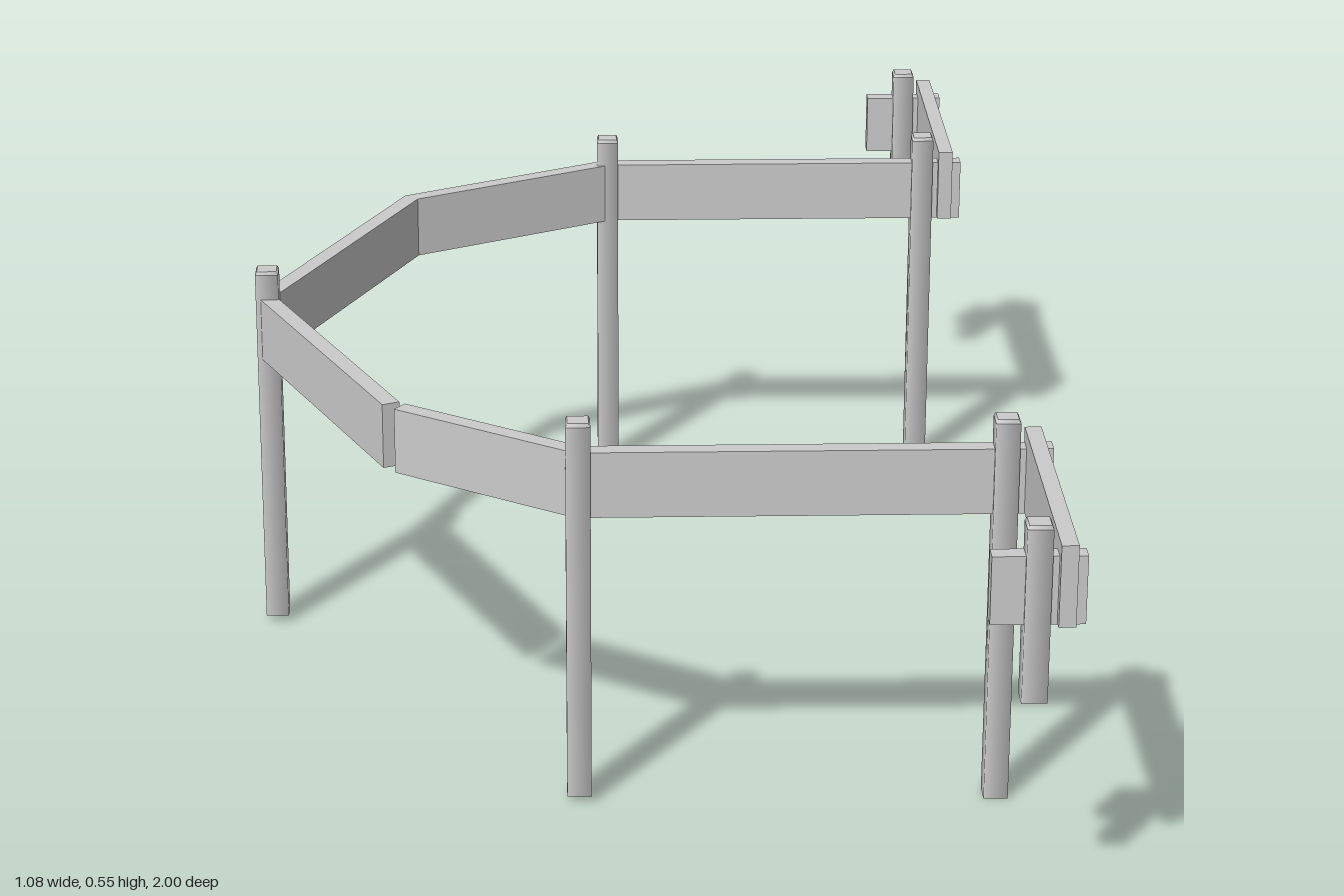
import * as THREE from 'three';

export function createModel() {
  const group = new THREE.Group();
  group.name = 'fence';
  const material = new THREE.MeshStandardMaterial({ color: 0xcccccc });

  function add(name, geometry, x, y, z) {
    const mesh = new THREE.Mesh(geometry, material);
    mesh.name = name;
    mesh.position.set(x, y, z);
    group.add(mesh);
  }

  // Square post with a softly shaded shaft and a small chamfer at the top
  const top = 0.55, chamfer = 0.005, r = 0.033 / Math.SQRT2;
  function post(name, x, z, bottom) {
    const h = top - chamfer - bottom;
    const shaft = new THREE.CylinderGeometry(r, r, h, 4).rotateY(Math.PI / 4);
    const cap = new THREE.CylinderGeometry(r * 0.85, r, chamfer, 4).rotateY(Math.PI / 4);
    add(name, shaft, x, bottom + h / 2, z);
    add(name + 'Cap', cap, x, top - chamfer / 2, z);
  }

  // Board that follows a plan path of [x, z] points with mitred corners
  function board(name, points, y0, y1, width) {
    const p = points.map(([x, z]) => new THREE.Vector2(x, -z));
    const left = [], right = [];
    p.forEach((point, i) => {
      const normals = [];
      if (i > 0) normals.push(point.clone().sub(p[i - 1]).normalize());
      if (i < p.length - 1) normals.push(p[i + 1].clone().sub(point).normalize());
      const n = normals.map((d) => new THREE.Vector2(-d.y, d.x));
      const m = n.reduce((a, b) => a.clone().add(b)).normalize();
      m.multiplyScalar(width / 2 / m.dot(n[0]));
      left.push(point.clone().add(m));
      right.unshift(point.clone().sub(m));
    });
    const geometry = new THREE.ExtrudeGeometry(new THREE.Shape([...left, ...right]), {
      depth: y1 - y0, bevelEnabled: false,
    });
    add(name, geometry.rotateX(-Math.PI / 2), 0, y0, 0);
  }

  // Curved enclosure: one run around the back, one shorter run at the front
  const low = 0.416, high = 0.508, thick = 0.025;
  board('backRail', [[-0.337, 0.438], [-0.53, 0], [-0.33, -0.453], [-0.023, -0.621], [0.538, -0.621]], low, high, thick);
  board('frontRail', [[-0.325, 0.45], [-0.087, 0.614], [0.538, 0.614]], low, high, thick);

  // Tall posts
  post('middlePost', -0.527, 0, 0.01);
  post('frontBendPost', -0.087, 0.614, 0.01);
  post('backBendPost', -0.023, -0.621, 0.01);
  post('frontCornerPost', 0.477, 0.614, 0);
  post('backCornerPost', 0.477, -0.621, 0);

  // End wings: a cross board, a short hanging post and a stub rail
  for (const [side, s, z, bottom] of [['front', 1, 0.973, 0.31], ['back', -1, -0.975, 0.318]]) {
    board(side + 'WingRail', [[0.513, s * 0.598], [0.513, s]], 0.418, 0.528, 0.022);
    post(side + 'ShortPost', 0.477, z, bottom);
    board(side + 'StubRail', [[0.418, z], [0.538, z]], low, high, thick);
  }
  return group;
}
